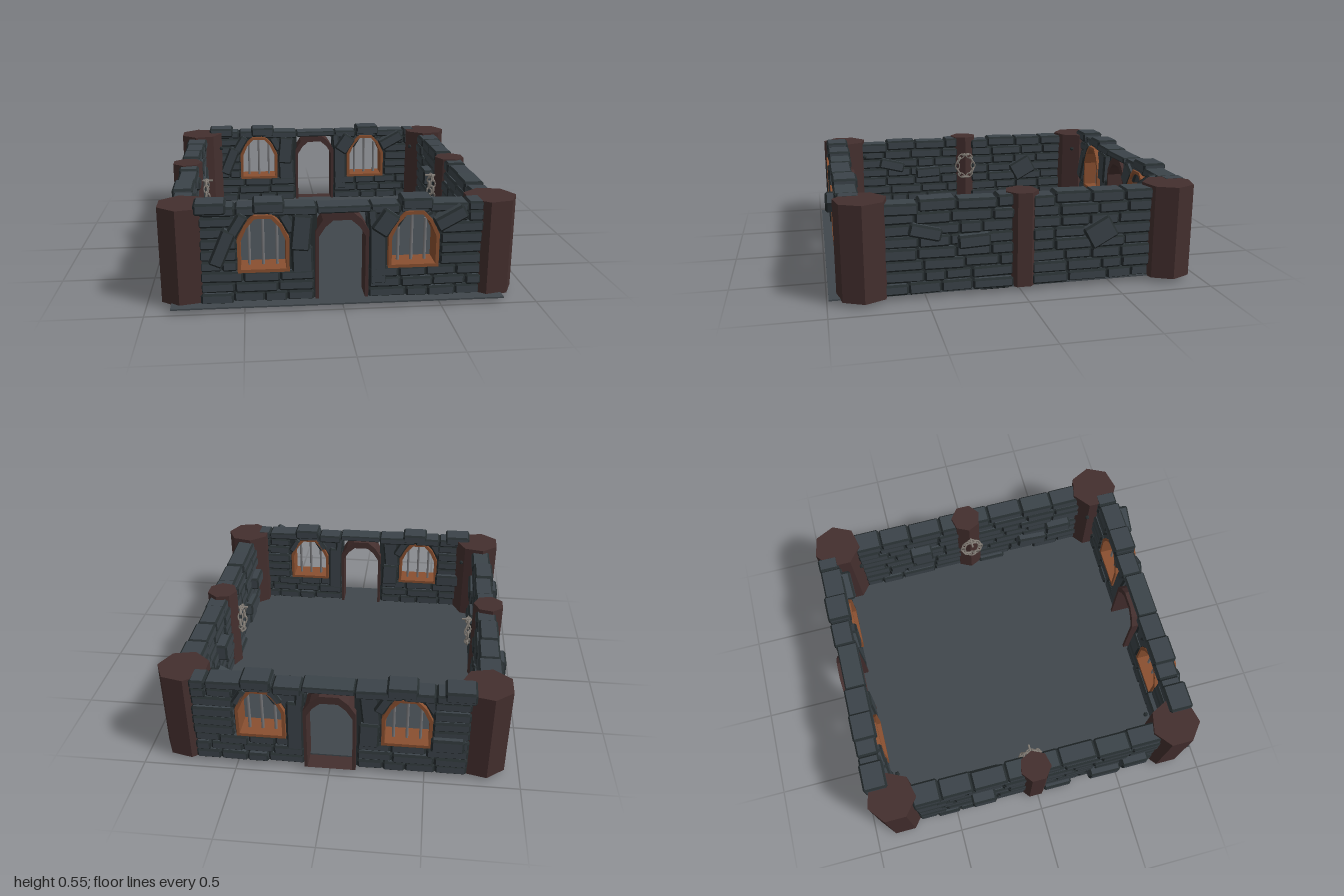
import * as THREE from 'three';
import { ConvexGeometry } from 'three/addons/geometries/ConvexGeometry.js';

const mat = (name, color) => {
  const m = new THREE.MeshStandardMaterial({ color });
  m.name = name;
  return m;
};

export function createModel() {
  const stone = mat('stone', 0x3b4349), edge = mat('stoneEdge', 0x262d2f);
  const floorMat = mat('floorSlate', 0x40474c), wood = mat('darkWood', 0x442f2e);
  const trim = mat('windowWood', 0x8a5030), iron = mat('iron', 0x77777a);
  const chainMat = mat('chainMetal', 0x857f78);
  const root = new THREE.Group();
  root.name = 'ruinedRoom';

  let seed = 11;
  const rnd = (a, b) => {
    seed = (seed * 16807) % 2147483647;
    return a + (b - a) * (seed / 2147483647);
  };
  const add = (parent, name, geo, m, x = 0, y = 0, z = 0) => {
    const mesh = new THREE.Mesh(geo, m);
    mesh.name = name;
    mesh.position.set(x, y, z);
    parent.add(mesh);
    return mesh;
  };

  // Chamfered stone blocks, gathered into flat faces and darker worn edges
  function masonry() {
    const faces = [], edges = [];
    const brick = (x, y, w, h, rot = 0, z = 0, d = 0.12) => {
      const b = Math.min(0.011, h * 0.2), pts = [], s = [w / 2, h / 2, d / 2];
      for (let i = 0; i < 8; i++) for (let k = 0; k < 3; k++) {
        const p = s.map((v, a) => ((i >> a) & 1 ? 1 : -1) * (a === k ? v : v - b));
        pts.push(new THREE.Vector3(...p));
      }
      const g = new ConvexGeometry(pts), n = g.attributes.normal, p = g.attributes.position;
      const v = new THREE.Vector3(), axis = new THREE.Vector3(0, 0, 1);
      for (let i = 0; i < p.count; i++) {
        const flat = Math.max(Math.abs(n.getX(i)), Math.abs(n.getY(i)), Math.abs(n.getZ(i))) > 0.99;
        v.fromBufferAttribute(p, i).applyAxisAngle(axis, rot);
        (flat ? faces : edges).push(v.x + x, v.y + y, v.z + z);
      }
    };
    // Uneven rows of bricks filling a rectangle
    const courses = (x0, x1, y0, y1, rows, ragged = 0) => {
      const h = (y1 - y0) / rows;
      for (let row = 0; row < rows; row++) for (let x = x0; x < x1 - 0.03;) {
        let w = rnd(0.11, 0.22);
        if (x1 - x - w < 0.07) w = x1 - x;
        const drop = row === rows - 1 ? rnd(-ragged, ragged * 0.4) : 0;
        brick(x + w / 2, y0 + (row + 0.5) * h + drop, w, h * rnd(0.92, 1.07),
          rnd(-0.02, 0.02), rnd(-0.008, 0.008), rnd(0.108, 0.13));
        x += w;
      }
    };
    const build = (parent) => [[faces, stone, 'bricks'], [edges, edge, 'brickEdges']].forEach(([a, m, name]) => {
      const g = new THREE.BufferGeometry();
      g.setAttribute('position', new THREE.Float32BufferAttribute(a, 3));
      g.computeVertexNormals();
      add(parent, name, g, m);
    });
    return { brick, courses, build };
  }

  // Angular arch outline: width, sill, spring, top and half width of the flat crown
  const arch = (Type, cx, w, y0, ys, yt, flat) => {
    const half = [[w / 2, y0], [w / 2, ys], [w * 0.36, ys + (yt - ys) * 0.6], [flat, yt]];
    const mirrored = half.map(([x, y]) => [-x, y]).reverse();
    return new Type([...half, ...mirrored].map(([x, y]) => new THREE.Vector2(cx + x, y)));
  };
  const slab = (shape, z0, z1) =>
    new THREE.ExtrudeGeometry(shape, { depth: z1 - z0, bevelEnabled: false }).translate(0, 0, z0);

  // Gate wall: doorway between two barred windows
  const gateWall = new THREE.Group();
  gateWall.name = 'frontWall';
  for (const [cx, x0, x1] of [[-0.4, -0.72, -0.13], [0.36, 0.125, 0.72]]) {
    const core = new THREE.Shape();
    core.moveTo(x0, 0.03).lineTo(x1, 0.03).lineTo(x1, 0.51).lineTo(x0, 0.51);
    core.holes.push(arch(THREE.Path, cx, 0.25, 0.205, 0.37, 0.495, 0.045));
    add(gateWall, 'wallCore', slab(core, -0.035, 0.035), edge);
    const frame = arch(THREE.Shape, cx, 0.26, 0.2, 0.375, 0.5, 0.045);
    frame.holes.push(arch(THREE.Path, cx, 0.226, 0.217, 0.365, 0.482, 0.04));
    add(gateWall, 'windowFrame', slab(frame, -0.06, 0.075), trim);
    for (const dx of [-0.07, 0, 0.07]) {
      const h = dx ? 0.23 : 0.28;
      add(gateWall, 'windowBar', new THREE.CylinderGeometry(0.0085, 0.0085, h, 6), iron, cx + dx, 0.21 + h / 2, 0);
    }
  }
  const door = arch(THREE.Shape, -0.003, 0.272, 0.03, 0.4, 0.5, 0.05);
  door.holes.push(arch(THREE.Path, -0.003, 0.238, 0.0301, 0.37, 0.457, 0.045));
  add(gateWall, 'doorFrame', slab(door, -0.075, 0.055), wood);

  const gate = masonry();
  // Courses beside and below the windows
  gate.courses(-0.72, -0.53, 0.2, 0.49, 5);
  gate.courses(0.5, 0.72, 0.2, 0.49, 5);
  gate.courses(-0.72, -0.145, 0.03, 0.2, 3);
  gate.courses(0.135, 0.72, 0.03, 0.2, 3);
  // Top course with two raised lintels
  gate.courses(-0.74, -0.13, 0.487, 0.535, 1, 0.006);
  gate.courses(-0.13, 0.14, 0.497, 0.532, 1);
  gate.courses(0.14, 0.72, 0.487, 0.535, 1, 0.006);
  for (const x of [-0.66, -0.37, 0.375]) gate.brick(x, 0.532, 0.16, 0.06, 0, 0, 0.135);
  // Upright and tilted stones round the openings
  gate.brick(-0.605, 0.33, 0.075, 0.2, -0.4, 0.02);
  gate.brick(-0.53, 0.445, 0.06, 0.13, -0.55, 0.015);
  gate.brick(-0.275, 0.45, 0.06, 0.11, 0.5);
  gate.brick(-0.21, 0.4, 0.1, 0.19, -0.1, 0.015);
  gate.brick(-0.205, 0.25, 0.11, 0.15, 0.03);
  gate.brick(0.18, 0.27, 0.09, 0.33, 0.02);
  gate.brick(0.215, 0.44, 0.1, 0.13, -0.6, 0.02);
  gate.brick(0.15, 0.46, 0.05, 0.1, 0.1);
  gate.brick(0.285, 0.46, 0.05, 0.1, -0.55);
  gate.brick(0.465, 0.44, 0.05, 0.1, 0.55);
  gate.brick(0.54, 0.465, 0.17, 0.075, 0.5, 0.045, 0.13);
  gate.brick(-0.61, 0.24, 0.17, 0.08, 0, -0.055, 0.08);
  gate.build(gateWall);
  gateWall.position.z = 0.87;
  const backWall = gateWall.clone();
  backWall.name = 'backWall';
  backWall.position.z = -0.895;
  root.add(gateWall, backWall);

  // Side walls, local x runs toward the back
  const sideWall = new THREE.Group();
  sideWall.name = 'leftWall';
  add(sideWall, 'wallCore', new THREE.BoxGeometry(1.5, 0.45, 0.08), edge, 0, 0.26, 0);
  const side = masonry();
  side.courses(-0.72, -0.04, 0.031, 0.523, 8, 0.02);
  side.courses(0.06, 0.72, 0.031, 0.523, 8, 0.02);
  // Displaced and jutting stones
  side.brick(0.43, 0.3, 0.16, 0.13, 0.5, 0.03, 0.1);
  side.brick(-0.13, 0.035, 0.17, 0.055, 0, -0.03, 0.1);
  side.brick(-0.57, 0.3, 0.16, 0.08, 0, -0.07, 0.08);
  side.brick(-0.4, 0.2, 0.19, 0.08, 0.1, -0.065, 0.08);
  side.brick(0.33, 0.33, 0.14, 0.1, 0, -0.07, 0.08);
  side.brick(-0.25, 0.3, 0.17, 0.07, 0.05, 0.025);
  side.brick(-0.5, 0.36, 0.17, 0.07, -0.25, 0.02);
  side.build(sideWall);
  sideWall.rotation.y = Math.PI / 2;
  sideWall.position.x = 0.775;
  const otherSide = sideWall.clone();
  otherSide.name = 'rightWall';
  otherSide.position.x = -0.82;
  root.add(sideWall, otherSide);

  // Floor slab
  add(root, 'floor', new THREE.BoxGeometry(1.7, 0.008, 1.86), floorMat, -0.02, 0.034, 0.06);

  // Seven-sided timber posts
  const post = (name, r, x, z, turn) => {
    const g = new THREE.CylinderGeometry(r, r, 0.505, 7).toNonIndexed();
    g.computeVertexNormals();
    add(root, name, g, wood, x, 0.2825, z).rotation.y = turn;
  };
  for (const x of [-0.796, 0.778]) for (const z of [-0.825, 0.815])
    post('cornerPost', 0.138, x, z, Math.PI / 2);
  post('middlePost', 0.089, -0.834, -0.015, Math.PI / 2);
  post('middlePost', 0.089, 0.768, -0.015, -Math.PI / 2);

  // Small iron knobs by the corner posts
  for (const [x, z] of [[-0.66, -0.77], [0.66, -0.71], [-0.69, 0.69], [0.63, 0.74]])
    add(root, 'postKnob', new THREE.IcosahedronGeometry(0.014, 0), edge, x, 0.44, z);

  // Loops of chain hanging on the middle posts
  const link = new THREE.TorusGeometry(0.019, 0.0055, 5, 10).scale(0.75, 1.25, 1);
  for (const x of [-0.725, 0.66]) {
    const chain = new THREE.Group();
    chain.name = 'hangingChain';
    for (let i = 0; i < 12; i++) {
      const a = (i / 12) * Math.PI * 2;
      const holder = new THREE.Group();
      holder.name = 'chainLinkHolder';
      holder.position.set(Math.cos(a) * 0.055, Math.sin(a) * 0.078, 0);
      holder.rotation.z = a;
      add(holder, 'chainLink', link, chainMat).rotation.y = i % 2 ? Math.PI / 2 : 0;
      chain.add(holder);
    }
    chain.position.set(x, 0.34, -0.01);
    chain.rotation.y = Math.PI / 2;
    root.add(chain);
    add(root, 'chainHook', new THREE.CylinderGeometry(0.006, 0.006, 0.08, 6), chainMat, x, 0.42, -0.01)
      .rotation.z = Math.PI / 2;
  }
  return root;
}
